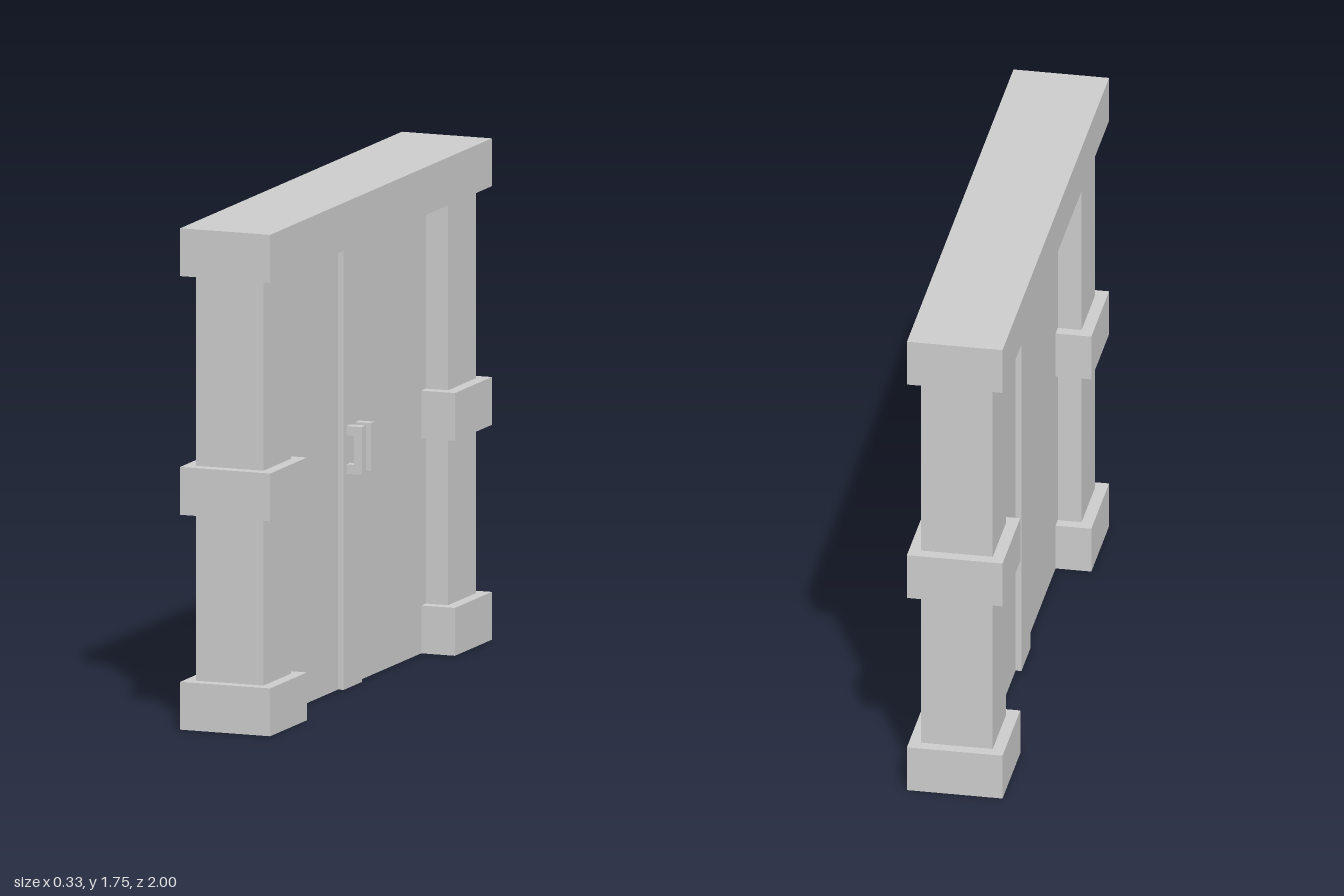
import * as THREE from 'three';

export function createModel() {
  const model = new THREE.Group();
  model.name = 'doubleDoor';
  const grey = new THREE.MeshStandardMaterial({ color: 0xcccccc });
  grey.name = 'light grey';

  // Box given by its lower and upper limits on each axis
  const addBox = (parent, name, [x0, x1], [y0, y1], [z0, z1]) => {
    const mesh = new THREE.Mesh(new THREE.BoxGeometry(x1 - x0, y1 - y0, z1 - z0), grey);
    mesh.position.set((x0 + x1) / 2, (y0 + y1) / 2, (z0 + z1) / 2);
    mesh.name = name;
    parent.add(mesh);
  };

  // Lintel across the top
  const lintelBottom = 1.583;
  addBox(model, 'lintel', [-0.167, 0.167], [lintelBottom, 1.75], [-1, 1]);

  // Door panel and the raised strip down its middle
  addBox(model, 'doorPanel', [-0.042, 0.042], [0, lintelBottom], [-0.71, 0.71]);
  addBox(model, 'centreStrip', [-0.0625, 0.0625], [0, lintelBottom], [-0.083, 0.083]);

  for (const side of [1, -1]) {
    const span = (a, b) => (side > 0 ? [a, b] : [-b, -a]);
    const label = side > 0 ? 'front' : 'back';

    // Pillar with its foot and middle band
    const pillar = new THREE.Group();
    pillar.name = label + 'Pillar';
    addBox(pillar, 'shaft', [-0.125, 0.125], [0.167, lintelBottom], span(0.708, 0.958));
    addBox(pillar, 'foot', [-0.167, 0.167], [0, 0.167], span(0.667, 1));
    addBox(pillar, 'band', [-0.167, 0.167], [0.75, 0.917], span(0.667, 1));
    model.add(pillar);

    // C-shaped handle on the +x face
    const s = new THREE.Shape();
    [[0.0625, 0.75], [0.12, 0.75], [0.12, 0.917], [0.0625, 0.917],
      [0.0625, 0.884], [0.09, 0.884], [0.09, 0.783], [0.0625, 0.783]]
      .forEach(([x, y], i) => (i ? s.lineTo(x, y) : s.moveTo(x, y)));
    s.closePath();
    const handle = new THREE.Mesh(
      new THREE.ExtrudeGeometry(s, { depth: 0.034, bevelEnabled: false }), grey);
    handle.position.z = span(0.023, 0.057)[0];
    handle.name = label + 'Handle';
    model.add(handle);
  }
  return model;
}
